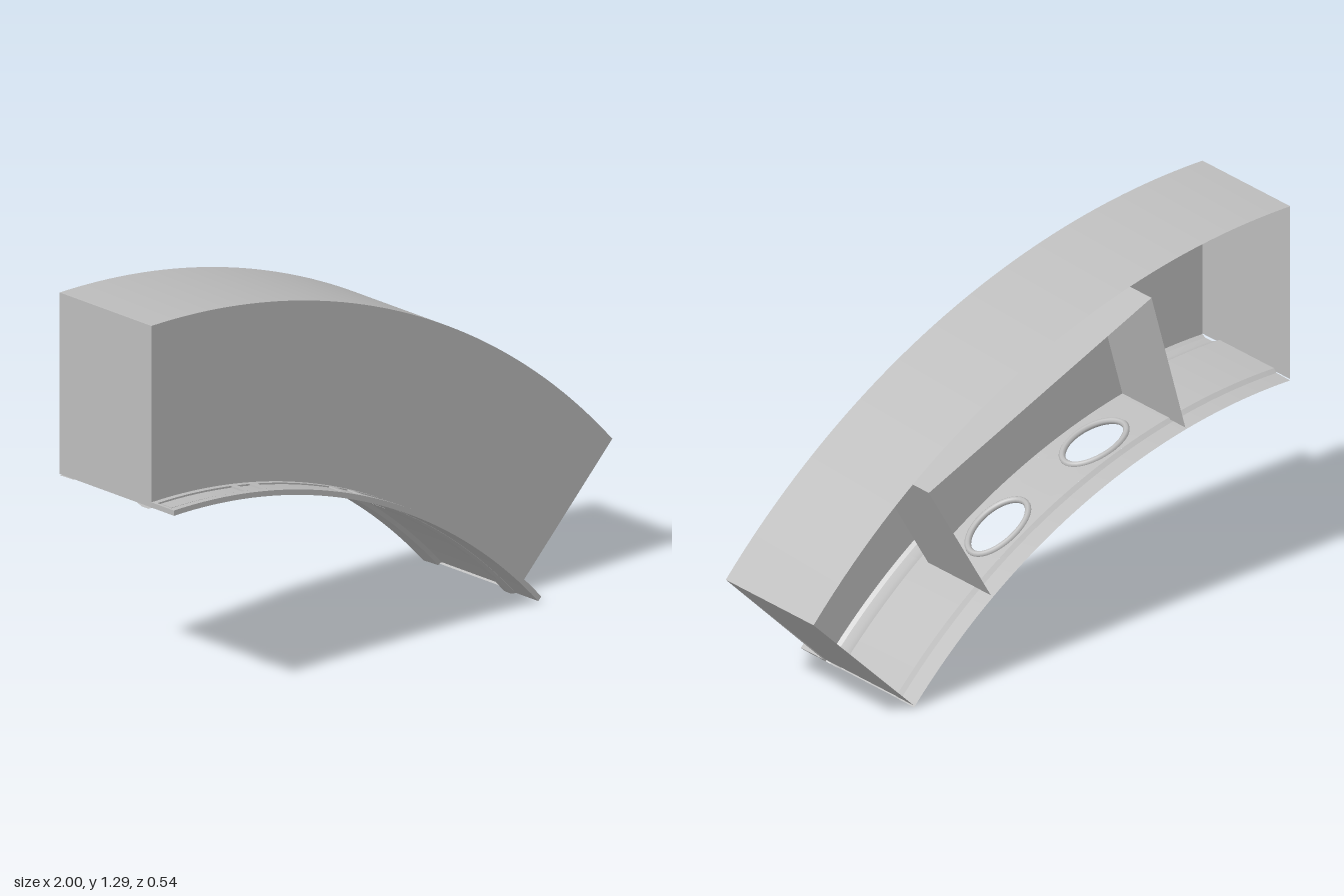
import * as THREE from 'three';
import { ParametricGeometry } from 'three/addons/geometries/ParametricGeometry.js';
import { toCreasedNormals } from 'three/addons/utils/BufferGeometryUtils.js';

// Arch frame: angle t is measured from straight up, towards +x
const CX = -0.95, CY = -1.42;
const T0 = -0.0237, T1 = 0.823;
const FRONT = 0.165, BACK = -0.27;
const bend = (t, r, z, out = new THREE.Vector3()) =>
  out.set(CX + r * Math.sin(t), CY + r * Math.cos(t), z);

// Outer curve of the arch, running from x = -1 to x = 1
const outerY = x => -1.352 + Math.sqrt(2.637 ** 2 - (x + 0.95) ** 2);

export function createModel() {
  const model = new THREE.Group();
  const stone = new THREE.MeshStandardMaterial({ color: 0xbcbcbc, side: THREE.DoubleSide });
  stone.name = 'grey stone';

  function add(name, geometry, parent = model) {
    const mesh = new THREE.Mesh(geometry, stone);
    mesh.name = name;
    parent.add(mesh);
    return mesh;
  }
  const group = name => {
    const g = new THREE.Group();
    g.name = name;
    model.add(g);
    return g;
  };
  const surface = (fn, nu, nv) => toCreasedNormals(new ParametricGeometry(fn, nu, nv), 0.4);

  // Flat sheet between two points of the front plane, running along z
  const sheet = (a, b, z0, z1) => surface((u, v, p) =>
    p.set(a[0] + (b[0] - a[0]) * u, a[1] + (b[1] - a[1]) * u, z0 + (z1 - z0) * v), 1, 1);

  // Box bent round the arch
  function bar(t0, t1, r0, r1, z0, z1) {
    const n = Math.max(2, Math.round((t1 - t0) * 48));
    const g = new THREE.BoxGeometry(t1 - t0, r1 - r0, z1 - z0, n, 1, 1);
    g.translate((t0 + t1) / 2, (r0 + r1) / 2, (z0 + z1) / 2);
    const pos = g.attributes.position, p = new THREE.Vector3();
    for (let i = 0; i < pos.count; i++) {
      bend(pos.getX(i), pos.getY(i), pos.getZ(i), p);
      pos.setXYZ(i, p.x, p.y, p.z);
    }
    return toCreasedNormals(g, 0.4);
  }

  // Open moulding profile of [z, r] points swept round the arch
  const sweep = (profile, t0, t1) => surface((u, v, p) => {
    const [z, r] = profile[Math.round(v * (profile.length - 1))];
    bend(t0 + (t1 - t0) * u, r, z, p);
  }, 24, profile.length - 1);

  // Hollow arch shell, open at the back
  const shell = group('archShell');
  const wall = new THREE.Shape();
  for (let i = 0; i <= 48; i++) {
    const p = bend(T0 + (T1 - T0) * i / 48, 2.087, 0);
    i ? wall.lineTo(p.x, p.y) : wall.moveTo(p.x, p.y);
  }
  for (let i = 48; i >= 0; i--) {
    const x = -1 + i / 24;
    wall.lineTo(x, outerY(x));
  }
  add('frontWall', new THREE.ShapeGeometry(wall).translate(0, 0, FRONT), shell);
  add('outerCurve', surface((u, v, p) => {
    const x = 1 - 2 * u;
    p.set(x, outerY(x), FRONT + (BACK - FRONT) * v);
  }, 48, 1), shell);
  add('crownEnd', sheet([-1, 0.668], [-1, outerY(-1)], FRONT, BACK), shell);
  add('springingEnd', sheet([0.58, 0.005], [1, outerY(1)], FRONT, BACK), shell);

  // Moulded soffit: bead at the front, flat middle, step at the back
  const soffit = group('soffit');
  const flat = 2.098, holeFront = 0.02, holeBack = -0.19;
  const frontBead = [[0.165, 2.087], [0.15, 2.08], [0.12, 2.08], [0.1, 2.086], [0.08, flat], [holeFront, flat]];
  const backStep = [[holeBack, flat], [-0.203, 2.086], [BACK, 2.084]];
  const N0 = 0.193, N1 = 0.613, NM = (N0 + N1) / 2;
  add('crownSoffit', sweep([...frontBead, ...backStep], T0, N0), soffit);
  add('springingSoffit', sweep([...frontBead, ...backStep], N1, T1), soffit);
  add('nicheFrontSoffit', sweep(frontBead, N0, N1), soffit);
  add('nicheBackSoffit', sweep(backStep, N0, N1), soffit);

  // Two oval openings with rounded rims in the niche floor
  const zc = (holeFront + holeBack) / 2, hz = (holeFront - holeBack) / 2;
  const ht = (N1 - N0) / 4, ot = 0.058, oz = 0.082;
  for (const s of [-1, 1]) {
    const tc = NM + s * ht;
    add('ovalOpeningPanel', surface((u, v, p) => {
      const c = Math.cos(2 * Math.PI * u), d = Math.sin(2 * Math.PI * u);
      const m = Math.max(Math.abs(c), Math.abs(d));
      bend(tc + c * (ot + (ht / m - ot) * v), flat, zc + d * (oz + (hz / m - oz) * v), p);
    }, 48, 3), soffit);
    const ring = [];
    for (let i = 0; i < 24; i++) {
      const a = i * Math.PI / 12;
      ring.push(bend(tc + ot * Math.cos(a), flat, zc + oz * Math.sin(a)));
    }
    add('ovalRim', new THREE.TubeGeometry(new THREE.CatmullRomCurve3(ring, true), 48, 0.011, 8, true), soffit);
  }

  // Tapered niche box behind the wall, open at the back
  const niche = group('niche');
  const nicheFront = 0.04;
  const corners = [[-0.56, 0.635], [-0.418, 1.142], [0.516, 0.742], [0.256, 0.295]];
  ['nicheCrownSide', 'nicheTop', 'nicheSpringingSide'].forEach((name, i) =>
    add(name, sheet(corners[i], corners[i + 1], nicheFront, BACK), niche));
  const face = new THREE.Shape(corners.map(c => new THREE.Vector2(...c)));
  for (let i = 1; i < 12; i++) {
    const p = bend(N1 + (N0 - N1) * i / 12, flat, 0);
    face.lineTo(p.x, p.y);
  }
  add('nicheWall', new THREE.ShapeGeometry(face).translate(0, 0, nicheFront), niche);

  // Front trim: thin plate with edge rails and cross bars that frame the panels
  const trim = group('frontTrim');
  const low = 2.088, plateTop = 2.1, railTop = 2.106;
  add('trimPlate', bar(T0, T1, low, plateTop, FRONT, 0.272), trim);
  add('innerRail', bar(T0, T1, plateTop, railTop, FRONT, 0.184), trim);
  add('outerRail', bar(T0, T1, plateTop, railTop, 0.25, 0.272), trim);
  const angle = x => Math.asin((x + 0.95) / railTop);
  const bars = [[-1, -0.99], [-0.67, -0.645], [-0.59, -0.56], [-0.245, -0.215], [-0.165, -0.14],
    [0.15, 0.175], [0.23, 0.25], [0.515, 0.53], [0.58, 0.594]];
  for (const [a, b] of bars) add('crossBar', bar(angle(a), angle(b), plateTop, railTop, 0.184, 0.25), trim);
  // Slim raised field inside each panel
  for (let i = 0; i + 1 < bars.length; i++) {
    const a = angle(bars[i][1]) + 0.004, b = angle(bars[i + 1][0]) - 0.004;
    add('panelField', bar(a, b, plateTop, plateTop + 0.003, 0.192, 0.242), trim);
  }

  return model;
}
